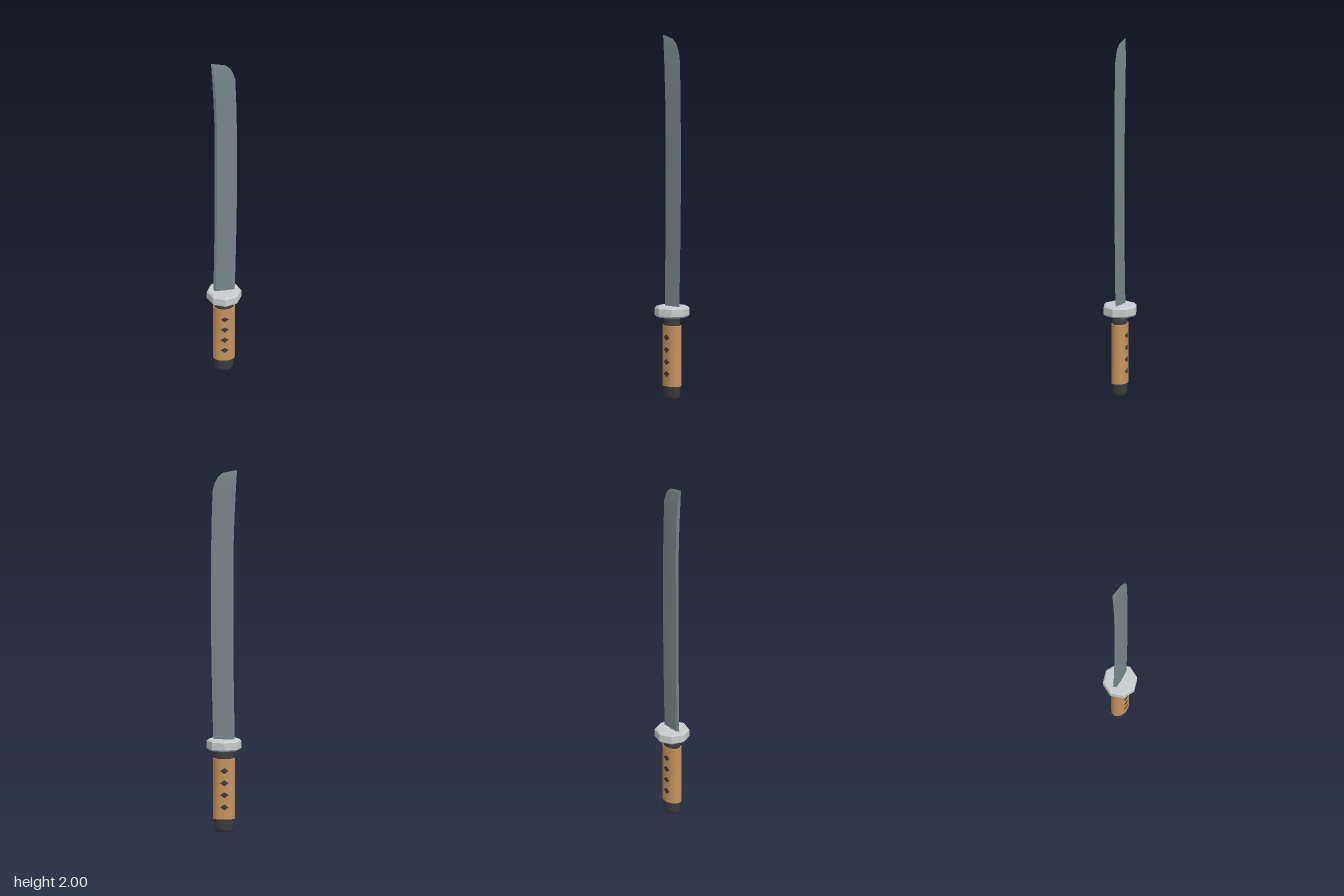
import * as THREE from 'three';
import { toCreasedNormals } from 'three/addons/utils/BufferGeometryUtils.js';

const material = (name, color, side = THREE.FrontSide) => {
  const m = new THREE.MeshStandardMaterial({ color, side });
  m.name = name;
  return m;
};

// Collects quads (corners counter-clockwise from outside) into a geometry with sharp edges kept.
function quadBuilder() {
  const p = [];
  return {
    quad(a, b, c, d) { p.push(...a, ...b, ...c, ...a, ...c, ...d); },
    tri(a, b, c) { p.push(...a, ...b, ...c); },
    build(crease) {
      const g = new THREE.BufferGeometry();
      g.setAttribute('position', new THREE.Float32BufferAttribute(p, 3));
      return toCreasedNormals(g, crease);
    },
  };
}

// Blade: six-sided cross-sections, thick at the spine (-x) and sharp at the edge (+x).
function bladeGeometry() {
  // height, spine x, edge x, half thickness
  const rows = [
    [0.49, -0.058, 0.058, 0.011],
    [0.66, -0.056, 0.063, 0.009],
    [0.85, -0.053, 0.067, 0.008],
    [1.10, -0.052, 0.071, 0.008],
    [1.38, -0.052, 0.072, 0.009],
    [1.60, -0.053, 0.070, 0.011],
    [1.75, -0.058, 0.067, 0.012],
    [1.89, -0.065, 0.062, 0.011],
    [1.925, -0.067, 0.052, 0.009],
    [1.96, -0.069, 0.036, 0.006],
    [1.985, -0.071, 0.008, 0.003],
    [2.0, -0.072, -0.070, 0.0003],
  ];
  const section = ([y, s, e, t]) => [[0, 0], [0.1, 1], [0.48, 0.85], [1, 0], [0.48, -0.85], [0.1, -1]]
    .map(([f, k]) => [s + (e - s) * f, y, t * k]);
  const b = quadBuilder();
  const rings = rows.map(section);
  for (let j = 0; j + 1 < rings.length; j++) {
    for (let i = 0; i < 6; i++) {
      const n = (i + 1) % 6;
      b.quad(rings[j][i], rings[j][n], rings[j + 1][n], rings[j + 1][i]);
    }
  }
  return b.build(0.35);
}

// Grip wrap: an oval sleeve with a column of diamond openings on front and back.
function wrapGeometry() {
  const N = 16, y0 = 0.07, y1 = 0.405, first = 0.138, pitch = 0.067, halfH = 0.017;
  const at = (k, y) => {
    const a = (k / N) * Math.PI * 2;
    return [0.06 * Math.sin(a), y, 0.043 * Math.cos(a)];
  };
  const b = quadBuilder();
  const band = (k, lo, hi) => b.quad(at(k, lo), at(k + 1, lo), at(k + 1, hi), at(k, hi));
  const cellsLo = first - pitch / 2, cellsHi = cellsLo + 4 * pitch;
  for (let k = 0; k < N; k++) {
    b.tri(at(k, y1), at(k + 1, y1), [0, y1, 0]);
    b.tri(at(k + 1, y0), at(k, y0), [0, y0, 0]);
    const centre = k % 8 === 0 ? k : k % 8 === 7 ? k + 1 : null;
    if (centre === null) { band(k, y0, y1); continue; }
    band(k, y0, cellsLo);
    band(k, cellsHi, y1);
    // facets beside the centre line leave half a diamond open in each cell
    for (let c = 0; c < 4; c++) {
      const ym = first + c * pitch, lo = ym - pitch / 2, hi = ym + pitch / 2;
      const isRight = centre === k;
      const l0 = isRight ? ym - halfH : ym, r0 = isRight ? ym : ym - halfH;
      const l1 = isRight ? ym + halfH : ym, r1 = isRight ? ym : ym + halfH;
      b.quad(at(k, lo), at(k + 1, lo), at(k + 1, r0), at(k, l0));
      b.quad(at(k, l1), at(k + 1, r1), at(k + 1, hi), at(k, hi));
    }
  }
  return b.build(0.7);
}

// Turned solid from a radius/height profile.
const lathe = (profile, sides, crease) => toCreasedNormals(
  new THREE.LatheGeometry(profile.map(([r, y]) => new THREE.Vector2(r, y)), sides), crease);

export function createModel() {
  const steel = material('blade steel', 0x78868a);
  const silver = material('guard silver', 0xc8cccc);
  const tan = material('wrap tan', 0xc4935f, THREE.DoubleSide);
  const dark = material('grip dark', 0x3c3d40);

  const model = new THREE.Group();
  model.name = 'sword';
  const add = (name, geometry, mat) => {
    const mesh = new THREE.Mesh(geometry, mat);
    mesh.name = name;
    model.add(mesh);
    return mesh;
  };

  add('blade', bladeGeometry(), steel);

  // Bevelled octagonal guard
  add('guard', lathe([[0, 0.452], [0.086, 0.452], [0.095, 0.461], [0.095, 0.501],
    [0.086, 0.51], [0, 0.51]], 8, 0.3), silver);

  // Oval core running from the pommel through the wrap to the collar
  add('gripCore', lathe([[0, 0], [0.042, 0], [0.049, 0.007], [0.053, 0.025], [0.053, 0.455], [0, 0.455]],
    16, 0.6), dark).scale.z = 0.74;

  add('gripWrap', wrapGeometry(), tan);
  return model;
}
